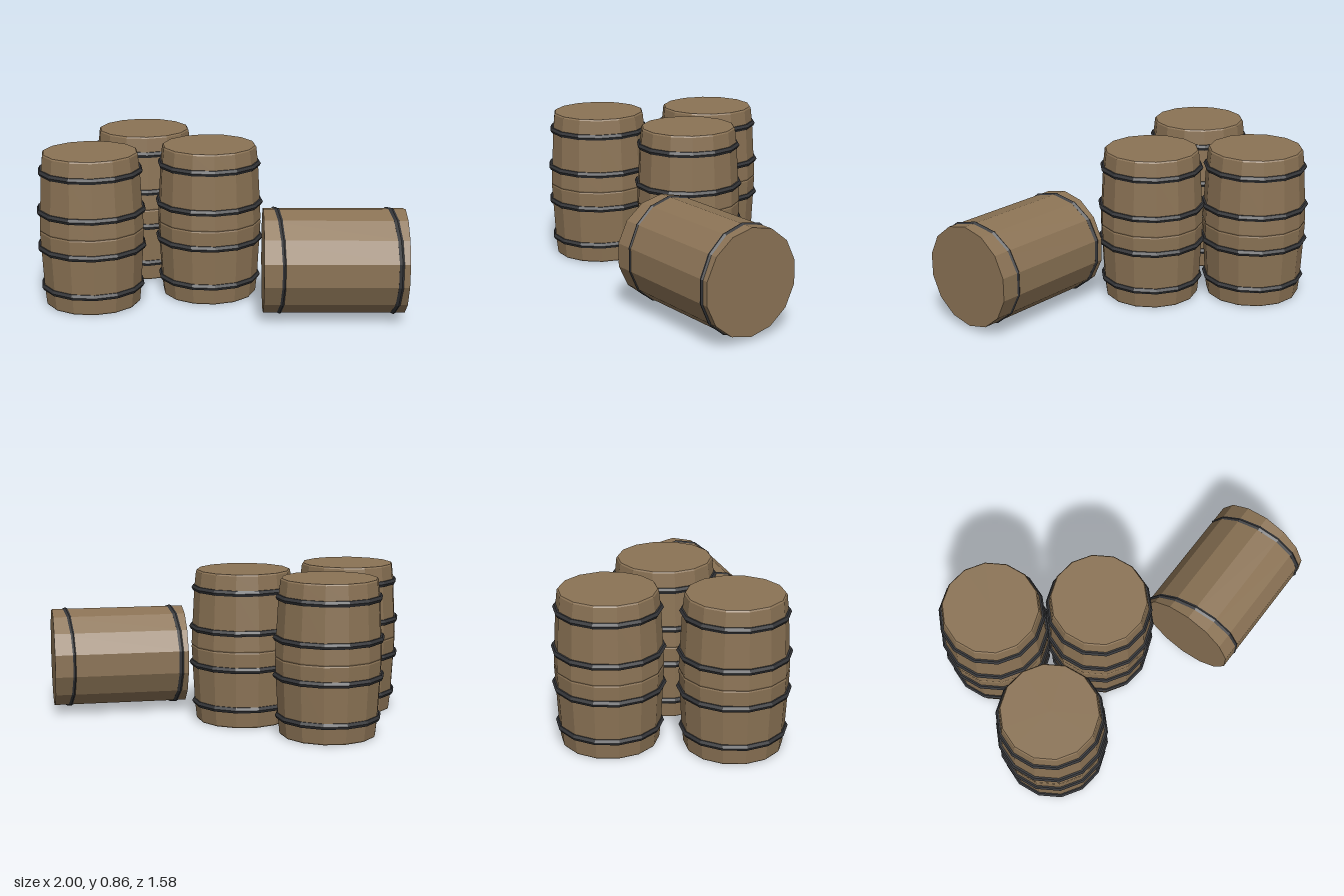
import * as THREE from 'three';

const SIDES = 14;

// Faceted normals for a low-poly look
function faceted(geometry) {
  const g = geometry.toNonIndexed();
  g.computeVertexNormals();
  return g;
}

export function createModel() {
  const wood = new THREE.MeshStandardMaterial({ color: 0x8b7355 });
  wood.name = 'wood';
  const iron = new THREE.MeshStandardMaterial({ color: 0x343538 });
  iron.name = 'iron';

  const model = new THREE.Group();
  model.name = 'barrels';

  const add = (parent, name, geometry, material) => {
    const mesh = new THREE.Mesh(faceted(geometry), material);
    mesh.name = name;
    parent.add(mesh);
    return mesh;
  };

  // Hoop lying flat, with a corner pointing along z
  const hoop = (outer, tube) =>
    new THREE.TorusGeometry(outer - tube, tube, 6, SIDES).rotateZ(Math.PI / 2);

  // Bulging body with small chamfers and a seam round the middle
  const profile = [
    [0, 0], [0.259, 0], [0.265, 0.008], [0.275, 0.105], [0.287, 0.33], [0.292, 0.422],
    [0.289, 0.43], [0.292, 0.438], [0.287, 0.535], [0.275, 0.755], [0.265, 0.848],
    [0.259, 0.856], [0, 0.856],
  ].map(([r, y]) => new THREE.Vector2(r, y));

  // Three upright barrels
  [[-0.7, 0.085], [-0.367, -0.487], [-0.034, -0.01]].forEach(([x, z], i) => {
    const barrel = new THREE.Group();
    barrel.name = `uprightBarrel${i + 1}`;
    barrel.position.set(x, 0, z);
    add(barrel, 'body', new THREE.LatheGeometry(profile, SIDES), wood);
    for (const [y, r] of [[0.105, 0.291], [0.33, 0.305], [0.535, 0.305], [0.755, 0.291]]) {
      add(barrel, 'hoop', hoop(r, 0.018).rotateX(Math.PI / 2), iron).position.y = y;
    }
    model.add(barrel);
  });

  // Straight barrel lying on its side, turned slightly
  const fallen = new THREE.Group();
  fallen.name = 'fallenBarrel';
  const body = add(fallen, 'body',
    new THREE.CylinderGeometry(0.285, 0.285, 0.76, SIDES)
      .rotateY(Math.PI / 2).rotateZ(-Math.PI / 2), wood);
  body.position.set(0.587, 0.308, 0.466);
  body.rotation.y = -0.121;

  // Its hoops stay square to the x axis
  for (const [x, z] of [[0.282, 0.428], [0.888, 0.504]]) {
    add(fallen, 'hoop', hoop(0.293, 0.017).rotateY(Math.PI / 2), iron).position.set(x, 0.308, z);
  }
  model.add(fallen);

  return model;
}
